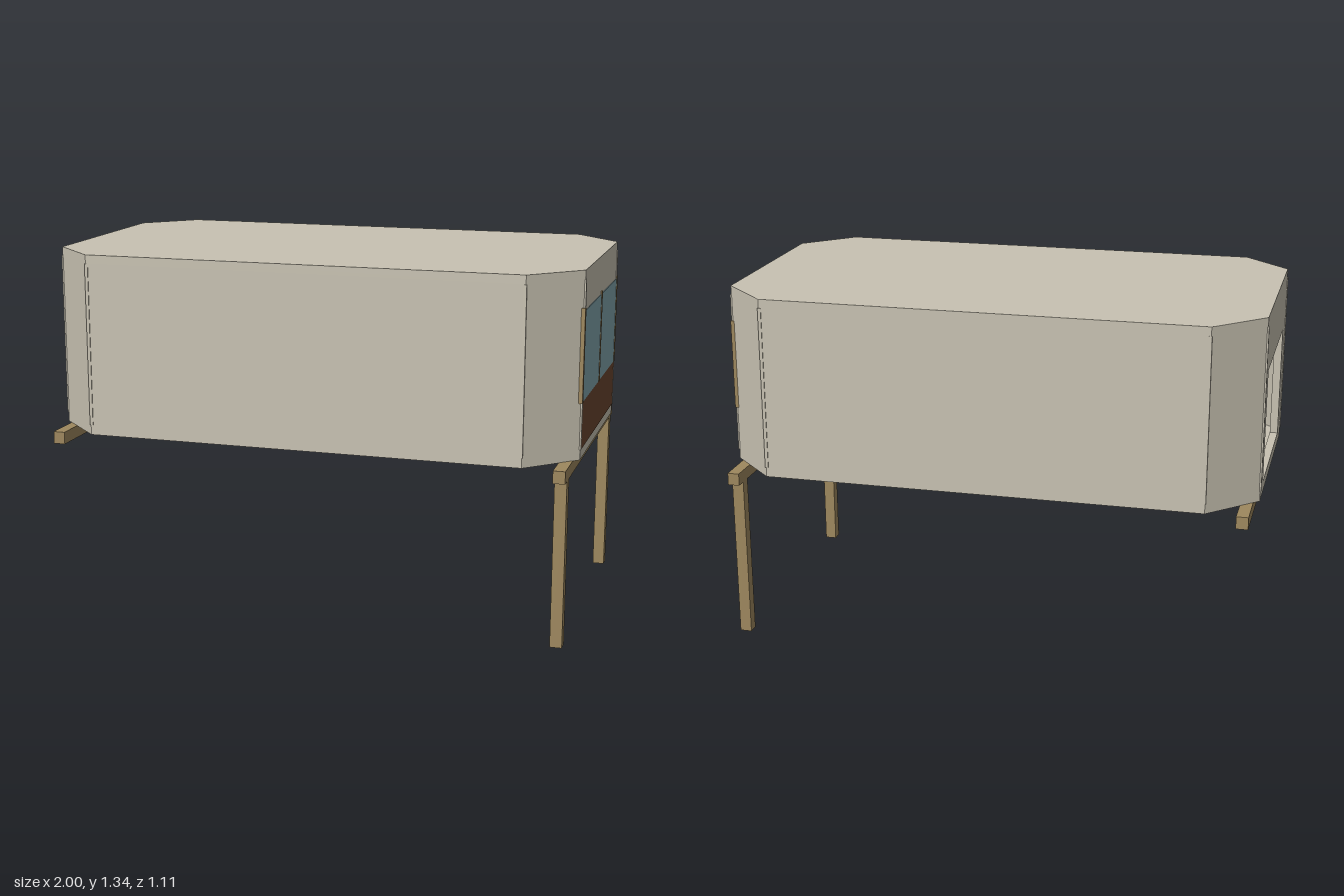
import * as THREE from 'three';

const mat = (name, color) => {
  const m = new THREE.MeshStandardMaterial({ color });
  m.name = name;
  return m;
};

export function createModel() {
  const root = new THREE.Group();
  root.name = 'stiltCabin';
  const plaster = mat('plaster', 0xc8c2b2);
  const glass = mat('blueGlass', 0x83a6ae);
  const panel = mat('brownPanel', 0x6c4730);
  const wood = mat('timber', 0x9e885e);
  const darkWood = mat('darkWood', 0x5c3320);

  const add = (name, geo, material, parent = root) => {
    const m = new THREE.Mesh(geo, material);
    m.name = name;
    parent.add(m);
    return m;
  };
  // box given by its minimum and maximum corners
  const box = (name, material, a, b, parent = root) => {
    const m = add(name, new THREE.BoxGeometry(b[0] - a[0], b[1] - a[1], b[2] - a[2]), material, parent);
    m.position.set((a[0] + b[0]) / 2, (a[1] + b[1]) / 2, (a[2] + b[2]) / 2);
    return m;
  };

  // chamfered plan, as [x, z] corners
  const X = 0.996, Z = 0.552, cx = 0.82, cz = 0.38;
  const plan = [[cx, Z], [X, cz], [X, -cz], [cx, -Z], [-cx, -Z], [-X, -cz], [-X, cz], [-cx, Z]];

  // floor and roof slabs
  const slab = (name, y0, y1) => {
    const shape = new THREE.Shape(plan.map(([x, z]) => new THREE.Vector2(x, -z)));
    const g = new THREE.ExtrudeGeometry(shape, { depth: y1 - y0, bevelEnabled: false });
    g.rotateX(-Math.PI / 2);
    add(name, g, plaster).position.y = y0;
  };
  const floorY = 0.7, ceilY = 1.31;
  slab('floor', 0.663, floorY);
  slab('roof', ceilY, 1.343);

  // one wall per plan edge; the left end wall (-x) has a doorway
  const thick = 0.03;
  plan.forEach(([x0, z0], i) => {
    const [x1, z1] = plan[(i + 1) % plan.length];
    const half = Math.hypot(x1 - x0, z1 - z0) / 2;
    const rect = (P, w, y0, y1) => {
      const p = new P();
      p.moveTo(-w, y0);
      p.lineTo(w, y0);
      p.lineTo(w, y1);
      p.lineTo(-w, y1);
      p.closePath();
      return p;
    };
    const shape = rect(THREE.Shape, half, floorY, ceilY);
    if (i === 5) shape.holes.push(rect(THREE.Path, 0.284, floorY + 0.005, 1.125));
    const g = new THREE.ExtrudeGeometry(shape, { depth: thick, bevelEnabled: false });
    g.translate(0, 0, -thick);
    const w = add('wall' + i, g, plaster);
    w.position.set((x0 + x1) / 2, 0, (z0 + z1) / 2);
    w.rotation.y = Math.atan2(-(z1 - z0), x1 - x0);
    const out = new THREE.Vector3(0, 0, 1).applyEuler(w.rotation);
    if (out.x * w.position.x + out.z * w.position.z < 0) w.rotation.y += Math.PI;

    // slim joint strip at the corner
    const s = add('cornerStrip' + i, new THREE.BoxGeometry(0.012, ceilY - floorY, 0.012), plaster);
    s.position.set(x0 - Math.sign(x0) * 0.003, (ceilY + floorY) / 2, z0 - Math.sign(z0) * 0.003);
  });

  // window end: glass over a brown panel, with three posts
  box('window', glass, [X - 0.004, 0.872, -cz], [0.9985, 1.2, cz]);
  box('windowPanel', panel, [X - 0.004, floorY, -cz], [0.9985, 0.872, cz]);
  for (const z of [-cz, 0, cz]) {
    box('windowPost', wood, [0.985, 0.87, z - 0.01], [1, 1.21, z + 0.01]);
  }

  // cross beams beneath, with legs under the window end only
  for (const s of [-1, 1]) {
    box('crossBeam', wood, [s * 0.953 - 0.022, 0.618, -0.555], [s * 0.953 + 0.022, 0.664, 0.555]);
    box('leg', wood, [0.931, 0, s * 0.495 - 0.021], [0.975, 0.619, s * 0.495 + 0.021]);
  }

  // small chairs standing along the inner wall
  const chair = (x, z) => {
    const c = new THREE.Group();
    c.name = 'chair';
    c.position.set(x, floorY, z);
    root.add(c);
    box('seat', darkWood, [-0.045, 0.06, -0.045], [0.045, 0.072, 0.045], c);
    box('backrest', darkWood, [-0.045, 0.09, 0.035], [0.045, 0.16, 0.045], c);
    for (const sx of [-1, 1]) {
      for (const sz of [-1, 1]) {
        box('chairLeg', darkWood, [sx * 0.039 - 0.006, 0, sz * 0.039 - 0.006],
          [sx * 0.039 + 0.006, sz > 0 ? 0.16 : 0.06, sz * 0.039 + 0.006], c);
      }
    }
  };
  for (const x of [-0.67, -0.54]) chair(x, 0.31);

  return root;
}
